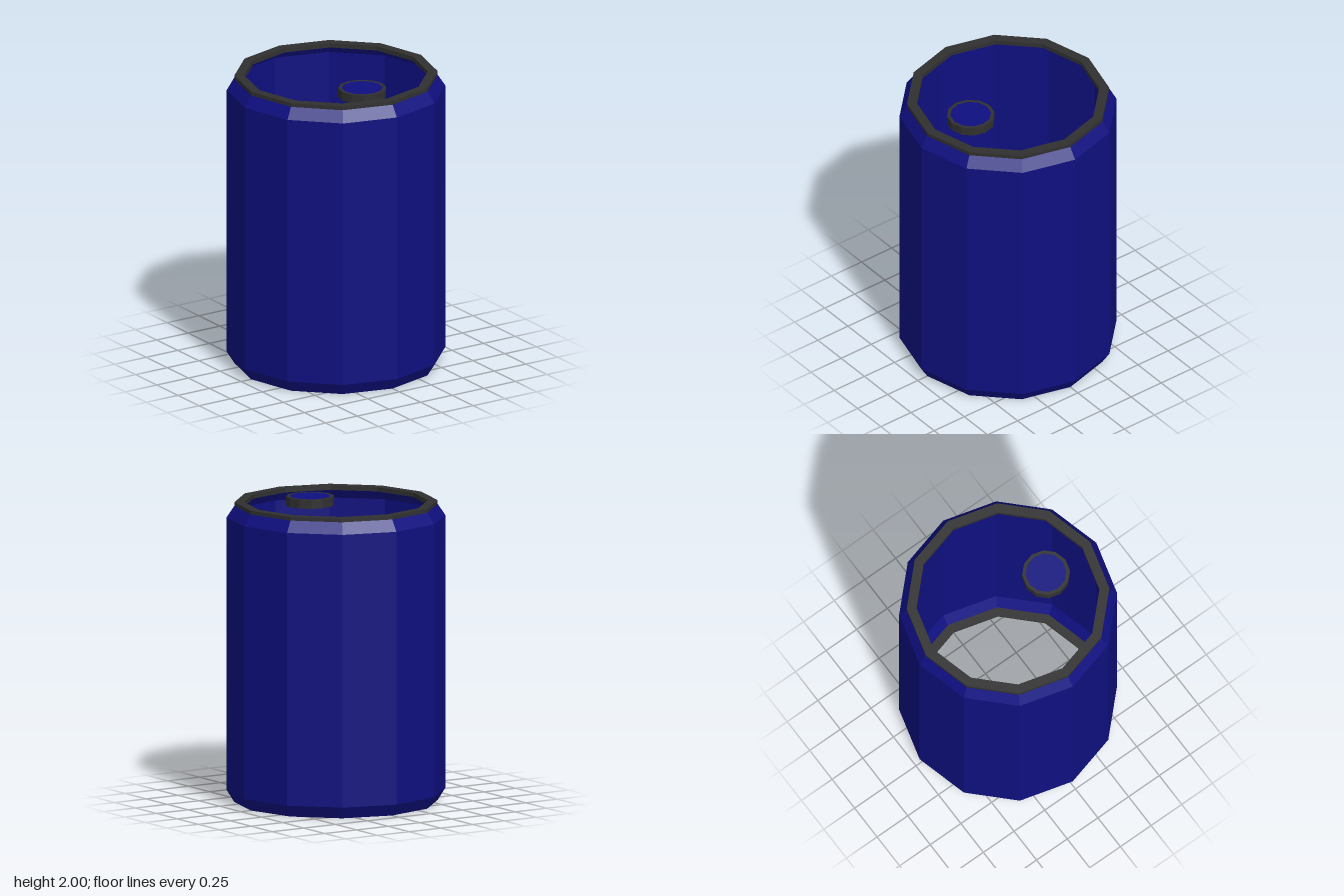
import * as THREE from 'three';

const SIDES = 12;

export function createModel() {
  const blue = new THREE.MeshStandardMaterial({ color: 0x0f0f80, flatShading: true, side: THREE.DoubleSide });
  blue.name = 'deep blue';
  const dark = new THREE.MeshStandardMaterial({ color: 0x303030, flatShading: true, side: THREE.DoubleSide });
  dark.name = 'dark grey';

  const model = new THREE.Group();
  model.name = 'can';

  const lathe = (name, profile, material, z = 0) => {
    const points = profile.map(([r, y]) => new THREE.Vector2(r, y));
    const mesh = new THREE.Mesh(new THREE.LatheGeometry(points, SIDES), material);
    mesh.name = name;
    mesh.position.z = z;
    model.add(mesh);
  };

  // Thin open shell with bevelled shoulders
  lathe('body', [[0.67, 0], [0.72, 0.08], [0.72, 1.9], [0.67, 1.975]], blue);

  // Raised band around the top opening
  lathe('topRim', [[0.67, 1.975], [0.67, 2], [0.605, 2], [0.605, 1.97], [0.67, 1.975]], dark);

  // Flat lip around the bottom opening
  lathe('bottomRim', [[0.605, 0.01], [0.605, 0], [0.67, 0]], dark);

  // Small round cap with a coloured face, set toward the front
  const capZ = 0.31;
  lathe('cap', [[0, 1.93], [0.158, 1.93], [0.158, 1.99], [0.135, 1.99]], dark, capZ);
  lathe('capFace', [[0.135, 1.99], [0, 1.99]], blue, capZ);

  return model;
}
